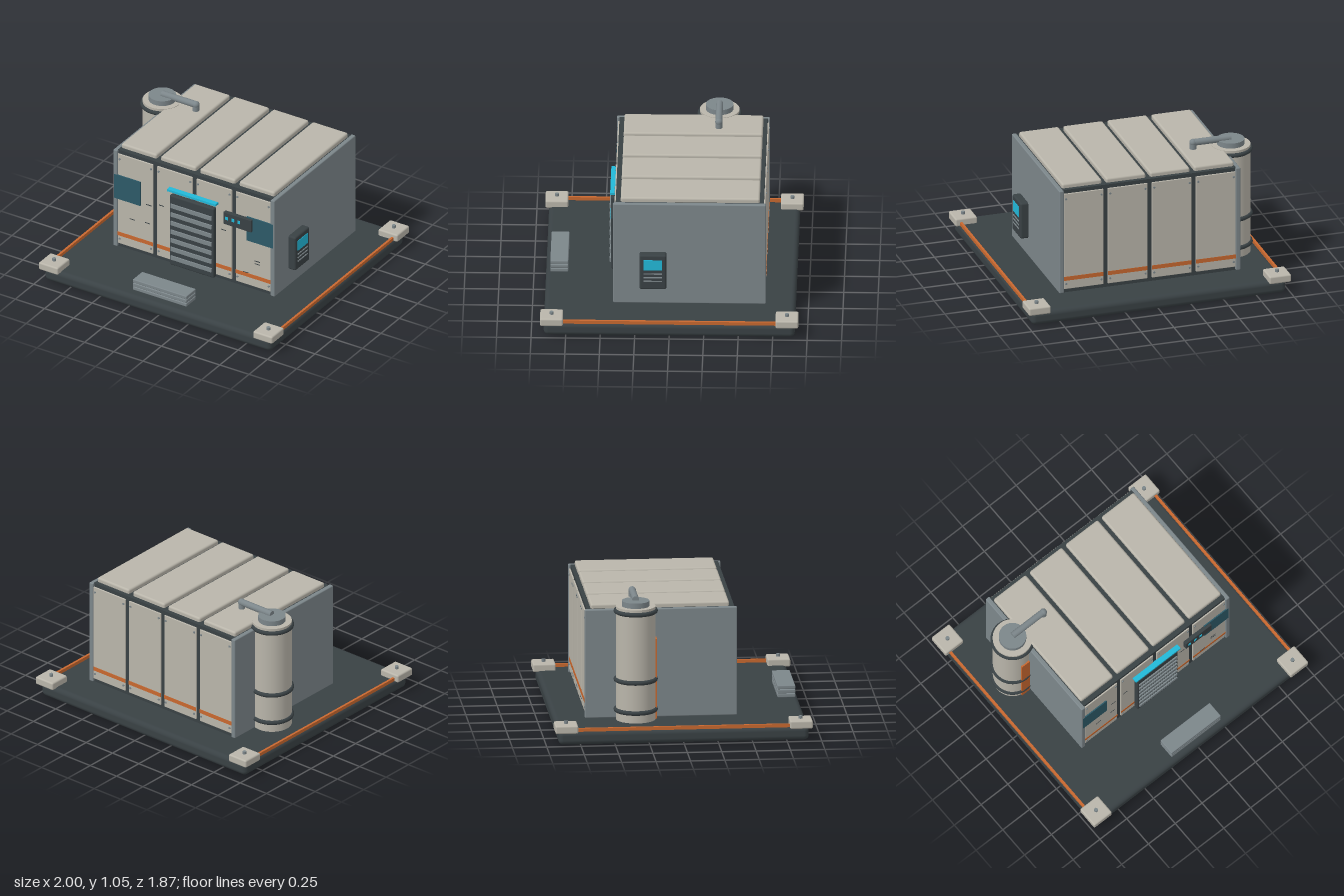
import * as THREE from 'three';
import { RoundedBoxGeometry } from 'three/addons/geometries/RoundedBoxGeometry.js';

const material = (color) => new THREE.MeshStandardMaterial({ color });

export function createModel() {
  const model = new THREE.Group();
  const dark = material(0x394144), beige = material(0xb9b5aa), grey = material(0x7c868a);
  const orange = material(0xc8682f), cyan = material(0x22b8d8), teal = material(0x2d5a68);

  const add = (name, geometry, mat, x, y, z) => {
    const mesh = new THREE.Mesh(geometry, mat);
    mesh.name = name;
    mesh.position.set(x, y, z);
    model.add(mesh);
    return mesh;
  };
  // Box given by its extents, with rounded edges when r > 0
  const box = (name, mat, [x0, x1], [y0, y1], [z0, z1], r = 0) => {
    const w = x1 - x0, h = y1 - y0, d = z1 - z0;
    const geometry = r ? new RoundedBoxGeometry(w, h, d, 3, r) : new THREE.BoxGeometry(w, h, d);
    return add(name, geometry, mat, (x0 + x1) / 2, (y0 + y1) / 2, (z0 + z1) / 2);
  };
  const cylinder = (name, mat, r, h, x, y, z, sides = 32) =>
    add(name, new THREE.CylinderGeometry(r, r, h, sides), mat, x, y, z);

  // Platform with corner pads, bolts and side rails
  box('platform', dark, [-0.97, 0.97], [0, 0.103], [-0.91, 0.91], 0.035);
  for (const sx of [-1, 1]) {
    for (const sz of [-1, 1]) {
      const x = sx * 0.917, z = sz * 0.853;
      box('cornerPad', beige, [x - 0.083, x + 0.083], [0.092, 0.152], [z - 0.083, z + 0.083], 0.012);
      cylinder('padBolt', grey, 0.014, 0.024, x, 0.16, z, 12);
    }
    const x = sx * 0.958;
    box('sideRail', orange, [x - 0.009, x + 0.009], [0.1, 0.125], [-0.78, 0.78]);
  }

  // Cabin core and side walls
  box('cabinCore', dark, [-0.66, 0.66], [0.13, 0.938], [-0.68, 0.394]);
  for (const s of [-1, 1]) {
    const wall = s * 0.673;
    box('sideWall', grey, [wall - 0.018, wall + 0.018], [0.13, 0.938], [-0.695, 0.412], 0.008);
  }

  // Front, back and roof panels with stripes and rivets
  for (let i = 0; i < 4; i++) {
    const x = -0.504 + i * 0.336, across = [x - 0.151, x + 0.151];
    box('roofPanel', beige, across, [0.925, 0.972], [-0.65, 0.358], 0.015);
    for (const s of [-1, 1]) {
      const face = s > 0 ? 0.404 : -0.69;
      box('wallPanel', beige, across, [0.158, 0.91], [face - 0.012, face], 0.004).position.z -= s > 0 ? 0 : -0.012;
      box('panelStripe', orange, across, [0.225, 0.256], [face - 0.002, face + 0.002]);
      for (const dx of [-0.135, 0.135]) for (const y of [0.2, 0.87]) {
        cylinder('rivet', grey, 0.008, 0.012, x + dx, y, face, 10).rotation.x = Math.PI / 2;
      }
    }
  }

  // Slatted door with light strip above
  box('door', dark, [-0.193, 0.187], [0.14, 0.725], [0.39, 0.438], 0.012);
  for (let i = 0; i < 7; i++) {
    const y = 0.642 - i * 0.0725;
    box('doorSlat', grey, [-0.178, 0.172], [y - 0.016, y + 0.016], [0.43, 0.448]);
  }
  box('lightStrip', cyan, [-0.21, 0.205], [0.755, 0.772], [0.4, 0.444]);

  // Windows and control box on the front
  for (const x of [-0.57, 0.565]) {
    box('window', teal, [x - 0.112, x + 0.112], [0.535, 0.735], [0.4, 0.413]);
  }
  box('controlBox', dark, [0.265, 0.505], [0.625, 0.725], [0.4, 0.433], 0.004);
  for (const x of [0.297, 0.349, 0.4]) {
    box('indicator', cyan, [x - 0.011, x + 0.011], [0.668, 0.692], [0.43, 0.438]);
  }

  // Small scratches on the front
  const scratches = [[-0.39, 0.56], [-0.53, 0.395], [-0.4, 0.405], [-0.28, 0.59],
    [0.25, 0.555], [0.54, 0.378], [0.54, 0.355], [0.44, 0.258]];
  for (const [x, y] of scratches) {
    box('scratch', dark, [x - 0.022, x + 0.022], [y - 0.003, y + 0.003], [0.402, 0.406]);
  }

  // Side terminal
  box('terminal', dark, [0.68, 0.75], [0.27, 0.55], [0.025, 0.22], 0.014);
  box('terminalScreen', cyan, [0.745, 0.754], [0.43, 0.512], [0.056, 0.19]);
  for (const y of [0.34, 0.37, 0.4]) {
    box('terminalLine', grey, [0.745, 0.755], [y - 0.004, y + 0.004], [0.056, 0.19]);
  }

  // Stack of step slabs
  for (const y of [0.149, 0.179, 0.21]) {
    box('stepSlab', grey, [-0.23, 0.23], [y - 0.014, y + 0.014], [0.747, 0.877], 0.006);
  }

  // Tank with rings, lid and marker plate
  const tx = -0.735, tz = -0.33;
  cylinder('tank', beige, 0.144, 0.845, tx, 0.5525, tz, 40);
  for (const y of [0.94, 0.43, 0.205]) {
    add('tankRing', new THREE.TorusGeometry(0.144, 0.017, 10, 48), dark, tx, y, tz).rotation.x = Math.PI / 2;
  }
  cylinder('tankLid', grey, 0.1, 0.045, tx, 0.992, tz);
  box('tankPlate', orange, [-0.77, -0.698], [0.135, 0.73], [-0.21, -0.177]);

  // Outlet pipe
  const pipe = cylinder('outletPipe', grey, 0.025, 0.29, -0.59, 1.02, tz, 20);
  pipe.rotation.z = Math.PI / 2;
  add('pipeElbow', new THREE.SphereGeometry(0.027, 20, 14), grey, -0.448, 1.02, tz);
  cylinder('pipeDrop', grey, 0.025, 0.06, -0.448, 0.99, tz, 20);

  return model;
}
